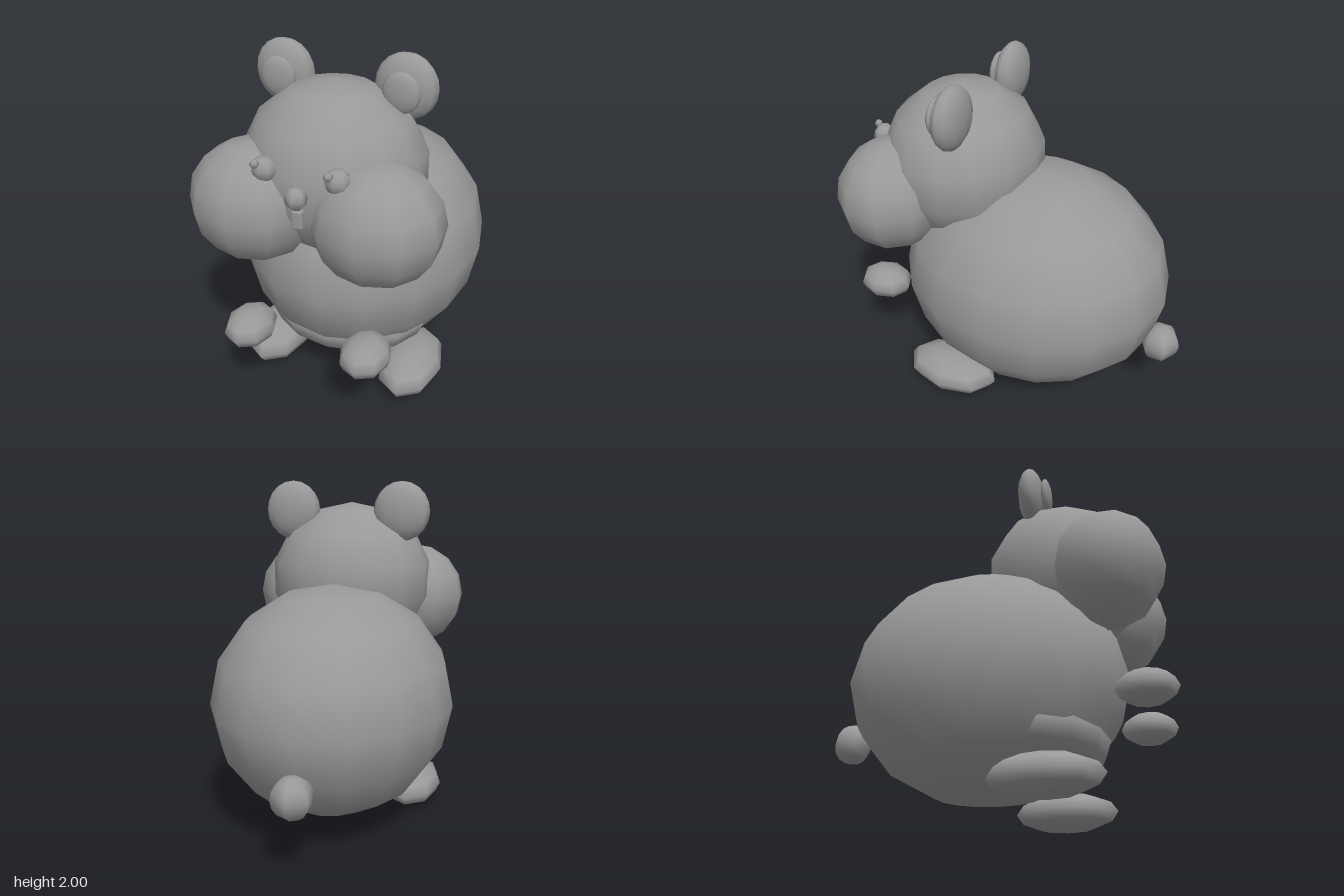
import * as THREE from 'three';
import { RoundedBoxGeometry } from 'three/addons/geometries/RoundedBoxGeometry.js';

export function createModel() {
  const model = new THREE.Group();
  model.name = 'hamster';
  const fur = new THREE.MeshStandardMaterial({ color: 0x999999 });
  fur.name = 'greyFur';

  // Low-poly ellipsoid with a vertex facing straight forward and back
  function ellipsoid(name, position, radii, segments, rows) {
    const geometry = new THREE.SphereGeometry(1, segments, rows);
    geometry.rotateY(Math.PI / 2);
    geometry.scale(...radii);
    const mesh = new THREE.Mesh(geometry, fur);
    mesh.name = name;
    mesh.position.set(...position);
    model.add(mesh);
    return mesh;
  }

  // Trunk, belly, head and tail
  ellipsoid('body', [0, 0.755, -0.07], [0.705, 0.673, 0.812], 16, 8);
  ellipsoid('belly', [0, 0.4, 0.2], [0.5, 0.235, 0.41], 14, 8);
  ellipsoid('head', [0, 1.405, 0.395], [0.5, 0.466, 0.467], 14, 7);
  ellipsoid('tail', [0, 0.475, -0.885], [0.116, 0.115, 0.115], 6, 8);

  // Paired parts
  for (const [side, s] of [['left', 1], ['right', -1]]) {
    ellipsoid(side + 'Cheek', [s * 0.333, 1.272, 0.67], [0.348, 0.328, 0.316], 10, 8);
    ellipsoid(side + 'Ear', [s * 0.333, 1.825, 0.255], [0.168, 0.175, 0.078], 12, 10);
    ellipsoid(side + 'InnerEar', [s * 0.333, 1.82, 0.342], [0.101, 0.108, 0.034], 12, 10);
    ellipsoid(side + 'Eye', [s * 0.19, 1.535, 0.81], [0.066, 0.066, 0.06], 8, 6);
    // Both glints sit toward the same side of the eye
    ellipsoid(side + 'EyeGlint', [s * 0.188 - 0.022, 1.582, 0.865], [0.023, 0.023, 0.022], 6, 6);
    ellipsoid(side + 'Hand', [s * 0.333, 0.565, 0.825], [0.137, 0.096, 0.166], 8, 6);
    ellipsoid(side + 'Foot', [s * 0.427, 0.113, 0.305], [0.184, 0.113, 0.3], 8, 6);
  }

  // Nose and tooth
  ellipsoid('nose', [0, 1.44, 0.868], [0.057, 0.06, 0.056], 6, 6);
  const tooth = new THREE.Mesh(new RoundedBoxGeometry(0.06, 0.105, 0.06, 1, 0.014), fur);
  tooth.name = 'tooth';
  tooth.position.set(0, 1.323, 0.85);
  model.add(tooth);

  return model;
}
